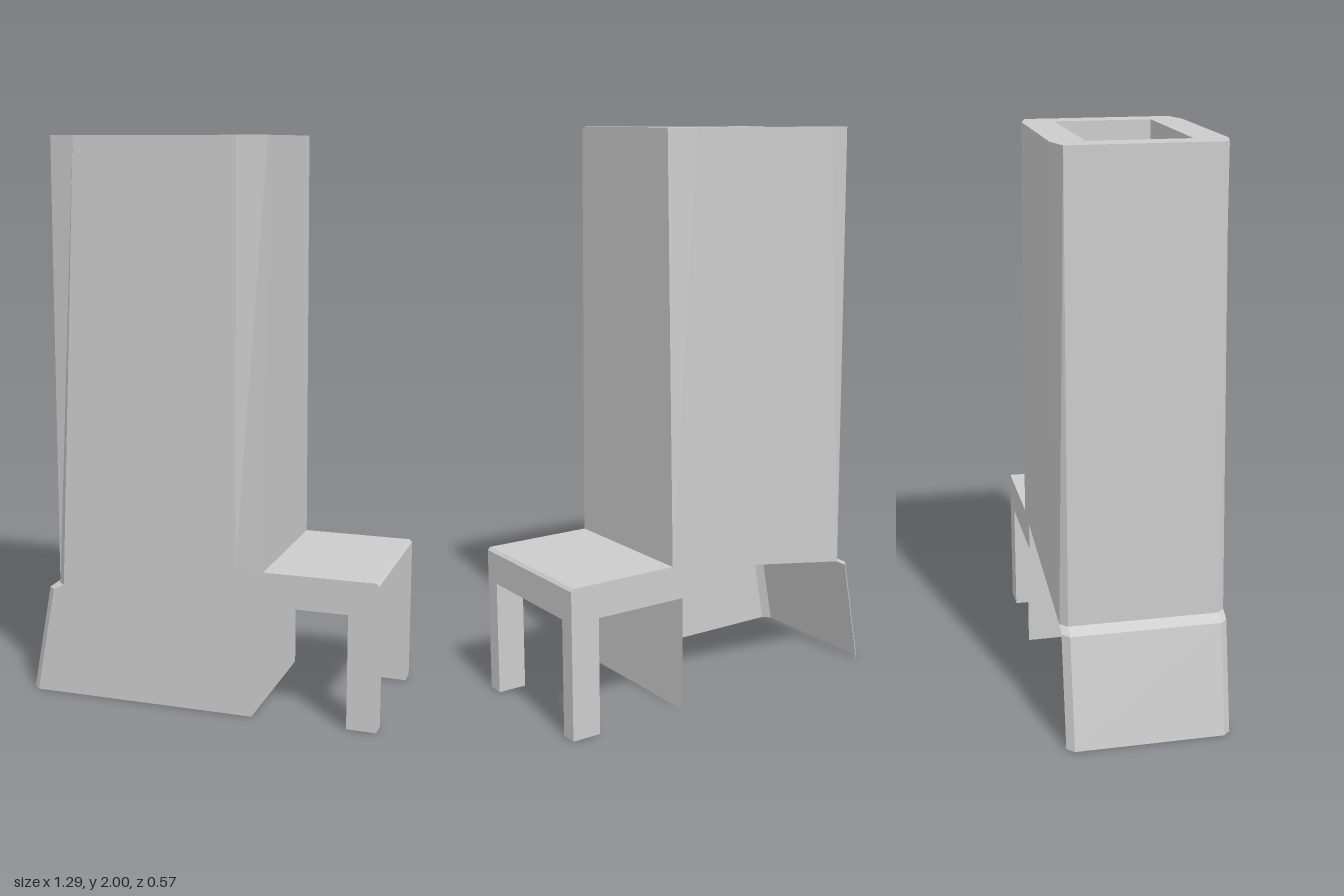
import * as THREE from 'three';

const material = new THREE.MeshStandardMaterial({
  color: 0xcccccc, flatShading: true, side: THREE.DoubleSide,
});

const W = 0.285;       // half depth of the walls
const C = 0.26;        // half depth at the chamfered corners
const TOP = 2;
const DECK = 0.53;     // height of the side table
const RAIL = 0.41;     // underside of the table rails

export function createModel() {
  const model = new THREE.Group();

  const add = (name, geometry) => {
    const mesh = new THREE.Mesh(geometry, material);
    mesh.name = name;
    model.add(mesh);
    return mesh;
  };

  // Thin four-cornered panel
  const panel = (name, a, b, c, d) => {
    const g = new THREE.BufferGeometry();
    g.setAttribute('position', new THREE.Float32BufferAttribute([a, b, c, a, c, d].flat(), 3));
    g.computeVertexNormals();
    return add(name, g);
  };

  const outline = (points) => new THREE.Shape(points.map(([x, y]) => new THREE.Vector2(x, y)));

  // Upper contour shared by the front and back walls
  const upper = [
    [0.645, RAIL], [0.645, 0.52], [0.635, DECK], [0.14, DECK],
    [0.14, TOP], [-0.44, TOP], [-0.51, RAIL],
  ];

  // Front wall reaches the ground; back wall stops at a sloping edge
  add('frontWall', new THREE.ShapeGeometry(outline([
    [-0.62, 0], [0.2, 0], [0.2, RAIL], ...upper, [-0.55, 0.39],
  ]))).position.z = W;
  const back = new THREE.ShapeGeometry(outline([[0.14, 0.51], [0.14, RAIL], ...upper]));
  back.rotateY(Math.PI).scale(-1, 1, 1);
  // restore outward winding after mirroring
  const order = back.index.array;
  for (let i = 0; i < order.length; i += 3) [order[i], order[i + 1]] = [order[i + 1], order[i]];
  back.computeVertexNormals();
  add('backWall', back).position.z = -W;

  // Chamfered tower corners, flap edges and table legs, mirrored front to back
  for (const s of [1, -1]) {
    // quads are listed for the front and reversed for the back
    const side = (name, ...pts) => {
      const q = pts.map(([x, y, z]) => [x, y, z * s]);
      panel(name, ...(s > 0 ? q : q.reverse()));
    };
    side('leftCorner', [0.14, DECK, W], [0.24, DECK, W], [0.24, TOP, C], [0.14, TOP, W]);
    side('rightCorner', [-0.535, RAIL, C], [-0.51, RAIL, W], [-0.44, TOP, W], [-0.535, TOP, C]);
    side('flapEdge', [-0.645, 0, C], [-0.62, 0, W], [-0.55, 0.39, W], [-0.575, 0.39, C]);
    side('ledgeEdge', [-0.575, 0.39, C], [-0.55, 0.39, W], [-0.51, RAIL, W], [-0.535, RAIL, C]);

    add('tableLeg', new THREE.BoxGeometry(0.105, RAIL, 0.06))
      .position.set(0.5925, RAIL / 2, s * (W - 0.03));
  }

  // Full-depth panels swept along z: [name, x0, y0, x1, y1, z at start, z at end]
  const strips = [
    ['leftWall', 0.24, DECK, 0.24, TOP, W, C],
    ['rightWall', -0.535, TOP, -0.535, RAIL, C, C],
    ['ledge', -0.535, RAIL, -0.575, 0.39, C, C],
    ['flap', -0.575, 0.39, -0.645, 0, C, C],
    ['innerPanel', 0.2, 0, 0.2, DECK, W, W],
    ['tableRail', 0.645, RAIL, 0.645, 0.52, W, W],
    ['tableBevel', 0.645, 0.52, 0.635, DECK, W, W],
    ['tableTop', 0.635, DECK, 0.2, DECK, W, W],
  ];
  for (const [name, x0, y0, x1, y1, z0, z1] of strips) {
    panel(name, [x0, y0, z0], [x0, y0, -z0], [x1, y1, -z1], [x1, y1, z1]);
  }

  // Rim around the top opening
  const rim = outline([
    [-0.535, -C], [-0.44, -W], [0.14, -W], [0.24, -C],
    [0.24, C], [0.14, W], [-0.44, W], [-0.535, C],
  ]);
  const pocket = [[-0.435, -0.172], [0.14, -0.172], [0.14, 0.172], [-0.435, 0.172]];
  rim.holes.push(new THREE.Path(pocket.map(([x, y]) => new THREE.Vector2(x, y))));
  add('topRim', new THREE.ShapeGeometry(rim).rotateX(-Math.PI / 2)).position.y = TOP;

  // Shallow pocket sunk in the top
  const floorY = 1.885;
  pocket.forEach(([x, z], i) => {
    const [x2, z2] = pocket[(i + 1) % 4];
    panel('pocketWall', [x, floorY, z], [x2, floorY, z2], [x2, TOP, z2], [x, TOP, z]);
  });
  panel('pocketFloor', ...pocket.map(([x, z]) => [x, floorY, z]).reverse());

  return model;
}
